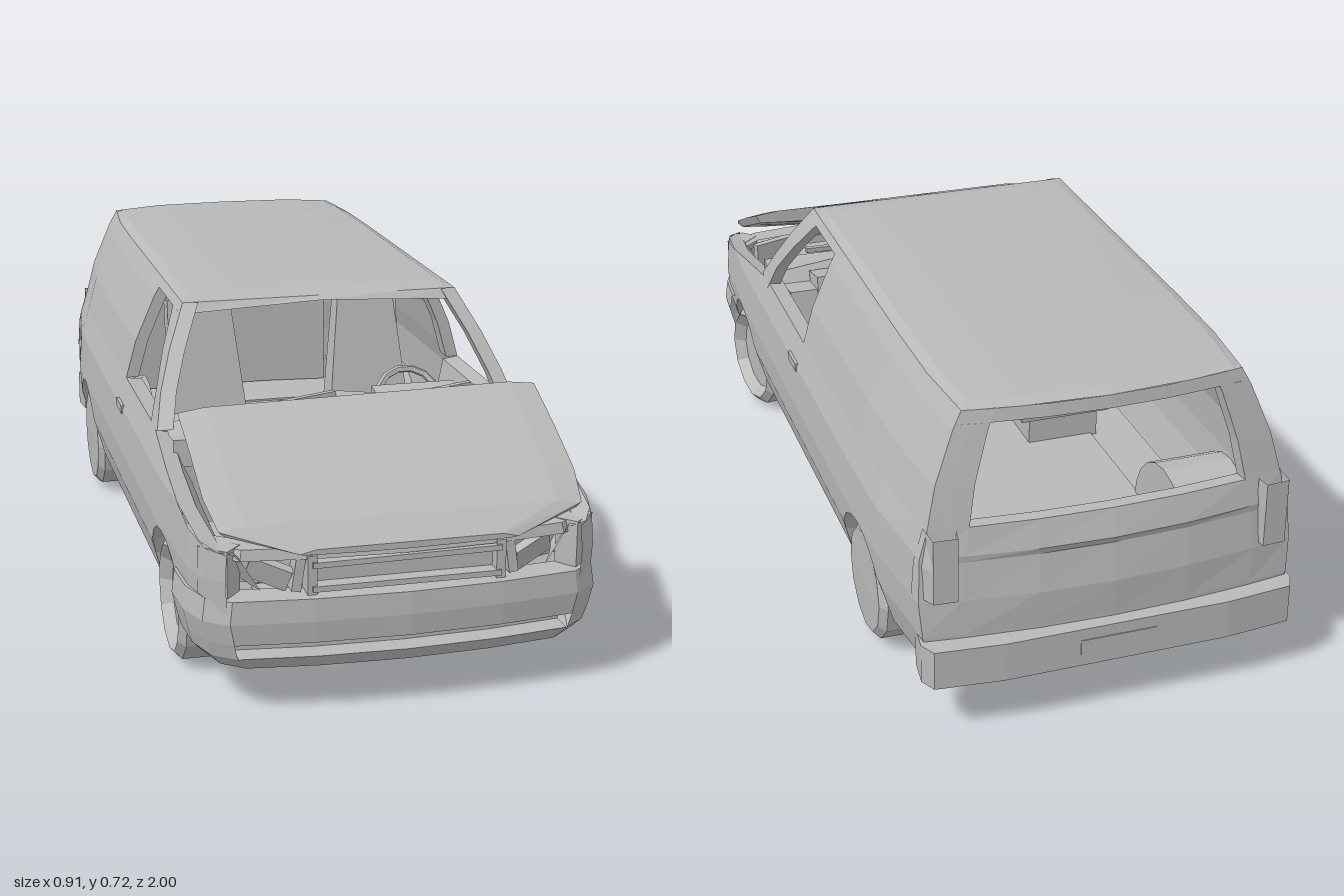
import * as THREE from 'three';

const grey = new THREE.MeshStandardMaterial({ color: 0xb8b8b8, flatShading: true, side: THREE.DoubleSide });
grey.name = 'bare grey';

// Piecewise linear lookup
function interp(table, v) {
  if (v <= table[0][0]) return table[0][1];
  for (let i = 1; i < table.length; i++) {
    const [a, p] = table[i - 1], [b, q] = table[i];
    if (v <= b) return p + (q - p) * (v - a) / (b - a);
  }
  return table[table.length - 1][1];
}
// Body half width by height, its narrowing along the length, the top of the lower side, the rear corner rake
const halfWidth = y => interp([[.08, .39], [.13, .42], [.22, .445], [.3, .45], [.4, .442], [.46, .421], [.55, .396], [.66, .348], [.7, .325]], y);
const taper = z => interp([[-.95, .92], [-.7, .99], [-.5, 1], [.6, 1], [.85, .97], [.93, .925], [.965, .84]], z);
const beltLine = z => interp([[.4, .46], [.6, .43], [.9, .37], [1, .35]], z);
const rearEdge = y => interp([[.22, -.94], [.46, -.915], [.7, -.875]], y);
const WHEELS = [.62, -.57], ARCH = .157, HUB = .137;

const skin = (z, y, s, inset = 0) => {
  const zz = Math.max(z, rearEdge(y));
  return [s * (halfWidth(y) * taper(zz) - inset), y, zz];
};
// Point on the bowed tailgate, t from -1 to 1 across it
const rear = (t, y, back = 0) => {
  const z = rearEdge(y);
  return [t * halfWidth(y) * taper(z), y, z - (.03 + back) * (1 - t * t)];
};

export function createModel() {
  const van = new THREE.Group();
  van.name = 'van';

  const add = (name, geo, x = 0, y = 0, z = 0, rx = 0, ry = 0, rz = 0) => {
    const m = new THREE.Mesh(geo, grey);
    m.name = name;
    m.position.set(x, y, z);
    m.rotation.set(rx, ry, rz);
    van.add(m);
  };
  const box = (name, w, h, d, ...at) => add(name, new THREE.BoxGeometry(w, h, d), ...at);
  const tube = (name, r, pts) => add(name, new THREE.TubeGeometry(
    new THREE.CatmullRomCurve3(pts.map(p => new THREE.Vector3(...p))), 14, r, 6));
  // Surface through rows of points
  const sheet = (name, rows) => {
    const pos = [];
    for (let i = 1; i < rows.length; i++) for (let j = 1; j < rows[i].length; j++) {
      const a = rows[i - 1][j - 1], b = rows[i - 1][j], c = rows[i][j], d = rows[i][j - 1];
      pos.push(...a, ...d, ...b, ...b, ...d, ...c);
    }
    const g = new THREE.BufferGeometry();
    g.setAttribute('position', new THREE.Float32BufferAttribute(pos, 3));
    g.computeVertexNormals();
    add(name, g);
  };

  // Stations along the lower side: [z, lowest y], with round wheel arches
  const arch = c => {
    const out = [[c - ARCH - .002, c < 0 ? .12 : .085]];
    for (let i = 0; i <= 10; i++) {
      const a = Math.PI * i / 10;
      out.push([c - ARCH * Math.cos(a), HUB + ARCH * Math.sin(a)]);
    }
    out.push([c + ARCH + .002, c < 0 ? .085 : .1]);
    return out;
  };
  const stations = [[-.96, .14], [-.85, .13], ...arch(-.57), [-.2, .08], [0, .08], [.2, .08], [.4, .08],
    ...arch(.62), [.85, .12], [.93, .14], [.965, .2]];

  for (const s of [1, -1]) {
    const side = s > 0 ? 'left' : 'right';
    sheet(side + 'LowerSide', stations.map(([z, lo]) =>
      [.08, .13, .22, .3, .4, 1].map(y => skin(z, Math.max(lo, Math.min(y, beltLine(z))), s))));
    sheet(side + 'UpperSide', [-.96, -.7, -.5, 0].map(z => [.46, .55, .66, .7].map(y => skin(z, y, s))));
    sheet(side + 'DoorHeader', [0, .1, .2, .25].map(z => [skin(z, .7, s), skin(z, .68, s), skin(z, .675, s, .03)]));
    sheet(side + 'DoorPost', [.46, .55, .66, .68].map(y => [skin(0, y, s), skin(0, y, s, .03), skin(-.05, y, s, .03)]));
    // Windscreen pillar: outer face, front face and inner face
    sheet(side + 'WindscreenPillar', [[.44, .37, .46], [.38, .335, .53], [.32, .265, .61], [.25, .18, .7]].map(([f, b, y]) =>
      [skin(b, y - .015, s, .03), skin(b, y - .015, s), skin(f, y, s), skin(f + .005, y, s, .035), skin(b, y - .015, s, .03)]));
    // Door inner panel and fender shelf
    sheet(side + 'InnerDoor', [0, .2, .42].map(z => [skin(z, .46, s), skin(z, .455, s, .04), skin(z, .4, s, .07), skin(z, .13, s, .05)]));
    sheet(side + 'FenderShelf', [.42, .6, .75, .9, .95].map(z => {
      const y = beltLine(z);
      return [skin(z, y, s), skin(z, y - .01, s, .04), skin(z, y - .09, s, .09)];
    }));
    box(side + 'DoorHandle', .01, .02, .075, s * .441, .4, .03);
    sheet(side + 'TailLamp', [.31, .385, .46].map(y => [skin(-.9, y, s, -.003), [s * .392, y, -.958], [s * .34, y, -.962], [s * .335, y, -.93]]));
    box(side + 'HeadlampBack', .13, .085, .02, s * .29, .31, .89, 0, s * .35);
    box(side + 'HeadlampBracket', .02, .09, .08, s * .225, .31, .92, 0, 0, s * .15);
    box(side + 'LampShard', .09, .05, .02, s * .28, .3, .925, .3, s * .4, s * .25);
    tube(side + 'FrameRail', .022, [[s * .24, .13, .85], [s * .25, .12, .6], [s * .2, .1, .35], [s * .25, .105, -.2], [s * .24, .14, -.57], [s * .26, .12, -.92]]);
    box(side + 'SillUnderside', .09, .02, .8, s * .35, .09, .03, 0, 0, s * .15);

    // Front seat
    const x = s * .21;
    box(side + 'SeatCushion', .23, .1, .26, x, .28, 0, -.1);
    add(side + 'SeatBack', new THREE.CylinderGeometry(.1, .155, .36, 4, 1).rotateY(Math.PI / 4).scale(1, 1, .4), x, .43, -.12, -.15);
    box(side + 'Headrest', .14, .09, .05, x + s * .015, .565, -.15, -.15);
    box(side + 'SeatBase', .18, .12, .2, x, .18, -.01);

    for (const c of WHEELS) {
      // Arch liner
      const liner = [];
      for (let i = 0; i <= 10; i++) {
        const a = Math.PI * i / 10, z = c - ARCH * Math.cos(a), y = HUB + ARCH * Math.sin(a);
        liner.push([skin(z, y, s), [s * .28, y, z], [s * .28, Math.min(y, HUB), z]]);
      }
      sheet(side + 'ArchLiner', liner);

      // Wheel: coarse tyre, shallow dished in front and nearly flat at the rear
      const wheel = new THREE.Group();
      wheel.name = side + (c > 0 ? 'FrontWheel' : 'RearWheel');
      const dish = c > 0 ? .02 : .046;
      const profile = [[0, -.03], [.085, -.045], [.12, -.047], [.136, -.035], [.136, .03], [.118, .046], [.095, dish], [0, dish + .003]];
      const tyre = new THREE.Mesh(new THREE.LatheGeometry(profile.map(p => new THREE.Vector2(...p)), 12), grey);
      tyre.name = 'tyre';
      tyre.rotation.z = -s * Math.PI / 2;
      wheel.add(tyre);
      wheel.position.set(s * .388, c > 0 ? .137 : .142, c);
      if (c > 0 && s > 0) wheel.rotation.y = .17;
      van.add(wheel);
    }

    // Rear pillar beside the open window
    sheet(side + 'RearPillar', [.46, .55, .66, .672].map(y => {
      const inner = rear(s * .78, y);
      return [rear(s, y), rear(s * .9, y), inner, [inner[0] * .98, y, inner[2] + .03]];
    }));
  }

  // Roof with a soft crown, its rear edge bowed like the tailgate
  const across = [-1, -.93, -.6, 0, .6, .93, 1];
  sheet('roof', [[-.875, .7, .03], [-.85, .71, .03], [-.7, .716, 0], [-.5, .718, 0], [0, .716, 0], [.2, .711, 0], [.25, .7, 0]].map(([z, top, bow]) =>
    across.map(t => [t * halfWidth(.7) * taper(z), .7 + (top - .7) * Math.min(1, (1 - Math.abs(t)) * 8), z - bow * (1 - t * t)])));
  sheet('windscreenHeader', across.map(t => [[t * .325, .7, .25], [t * .325, .692 - .015 * Math.abs(t), .265], [t * .31, .685 - .02 * Math.abs(t), .2]]));

  // Tailgate: bulging lower panel with a crease, ledge and top rail round the open window
  const columns = [-1, -.78, -.4, 0, .4, .78, 1];
  sheet('tailgate', columns.map(t => [[.14, 0], [.22, 0], [.3, .012], [.385, .006], [.4, .014], [.46, 0]].map(([y, b]) => rear(t, y, b))));
  sheet('tailgateTopRail', columns.map(t => [rear(t, .7), rear(t, .672), [rear(t, .672)[0], .665, rear(t, .672)[2] + .03]]));
  sheet('tailgateLedge', columns.slice(1, -1).map(t => {
    const [x, y, z] = rear(t, .46);
    return [[x, y, z], [x, y, z + .03], [x, .16, z + .03]];
  }));

  // Rear bumper from a plan outline
  const plan = [[-.41, .885], [-.418, .95], [-.4, .985], [-.25, 1], [.25, 1], [.4, .985], [.418, .95], [.41, .885], [.385, .885], [.38, .93], [-.38, .93], [-.385, .885]];
  add('rearBumper', new THREE.ExtrudeGeometry(new THREE.Shape(plan.map(p => new THREE.Vector2(...p))),
    { depth: .09, bevelEnabled: false }).rotateX(-Math.PI / 2), 0, .122);
  box('numberPlate', .17, .04, .008, 0, .165, -.998);

  // Front bumper: bands swept round the nose, with a slot between them
  const half = [[.452, .765], [.446, .86], [.42, .935], [.37, .972], [.2, .992], [0, 1]];
  const nose = [...half, ...half.slice(0, -1).reverse().map(([x, z]) => [-x, z])];
  const band = (name, path, levels) => sheet(name, path.map(([x, z]) => levels.map(([y, k, back = 0]) => [x * k, y, z - back])));
  band('frontBumper', nose, [[.262, .93, .06], [.258, .985, .004], [.21, 1], [.163, .975, .004]]);
  band('bumperLip', nose, [[.13, .955, .01], [.1, .9, .03], [.1, .85, .09]]);
  for (const s of [1, -1]) band('bumperCorner', half.slice(0, 4).map(([x, z]) => [s * x, z]), [[.163, .975, .004], [.13, .955, .01]]);
  band('intakeBack', nose.slice(3, -3), [[.163, .97, .004], [.16, .97, .06], [.13, .95, .06], [.13, .95, .01]]);
  band('noseRail', nose.slice(2, -2), [[.36, .92, .09], [.358, .92, .03], [.335, .93, .025], [.335, .92, .07]]);
  box('grilleBack', .42, .08, .015, 0, .298, .935);
  box('grilleTop', .4, .012, .04, 0, .325, .955, 0, 0, .01);
  box('grilleBottom', .4, .012, .04, 0, .272, .955);
  for (const s of [1, -1]) {
    box('grillePost', .02, .085, .04, s * .2, .3, .95);
    box('nosePost', .07, .1, .05, s * .38, .31, .91, 0, s * .75);
  }

  // Raised bonnet, lens shaped in profile, with a pressed underside
  const bonnet = [[.59, .558, .402, .035], [.72, .508, .402, .05], [.85, .448, .4, .045], [.935, .405, .385, .025], [.985, .362, .23, .008]];
  const spread = [-1, -.85, -.4, 0, .4, .85, 1];
  const top = bonnet.map(([z, y, w]) => spread.map(t => [t * w, y - (Math.abs(t) === 1 ? .008 : 0) + (z < .6 ? t * .006 : 0), z]));
  const under = bonnet.map(([z, y, w, d]) => spread.map(t => [t * w * .97, y - d * (1 - .5 * t * t) - .006, z]));
  sheet('bonnetTop', top);
  sheet('bonnetUnderside', under);
  sheet('bonnetRearEdge', [top[0], under[0]]);
  sheet('bonnetFrontEdge', [top[4], under[4]]);
  for (const j of [0, 6]) sheet('bonnetSideEdge', top.map((r, i) => [r[j], under[i][j]]));

  // Cowl, engine bay and cabin fittings
  sheet('cowl', [-.4, -.2, 0, .2, .4].map(x => [[x, .4, .37], [x, .515 - .12 * Math.abs(x), .41], [x, .495 - .1 * Math.abs(x), .47], [x, .46, .52], [x, .4, .525]]));
  for (const x of [-.12, .2]) box('wiperArm', .22, .012, .014, x, .505, .44, 0, .15, .08);
  box('firewall', .76, .32, .02, 0, .28, .5);
  box('engineBlock', .3, .18, .22, .02, .27, .66);
  box('engineCover', .2, .05, .16, .04, .365, .64, 0, .15);
  box('battery', .12, .1, .1, -.24, .33, .7);
  box('airBox', .11, .09, .14, .25, .33, .68, 0, .2);
  box('radiator', .5, .2, .03, 0, .23, .87);
  box('bayCrossBar', .72, .025, .03, 0, .41, .57);
  box('dashboard', .76, .11, .13, 0, .39, .36, .15);
  box('instrumentHood', .2, .05, .09, .21, .455, .34, .2);
  box('centreConsole', .12, .2, .2, 0, .25, .3);
  add('steeringWheel', new THREE.TorusGeometry(.075, .009, 5, 14), .21, .44, .27, -.5);
  box('steeringSpoke', .14, .015, .012, .21, .44, .27, -.5);
  tube('steeringColumn', .014, [[.21, .44, .27], [.21, .41, .31], [.21, .37, .36]]);

  // Floor and running gear
  box('centreFloor', .57, .02, 1.42, 0, .14, -.22);
  box('sideFloor', .81, .02, .85, 0, .135, .025);
  box('rearFloor', .76, .02, .2, 0, .145, -.84);
  for (const z of [-.85, -.35, .25, .5, .8]) box('crossMember', .5, .03, .035, 0, .11, z);
  box('rearAxle', .72, .045, .045, 0, .137, -.57);
  box('frontAxle', .72, .03, .05, 0, .125, .62);
  add('differential', new THREE.IcosahedronGeometry(.06, 0), 0, .13, -.57);
  tube('driveShaft', .018, [[0, .125, -.57], [0, .11, -.1], [0, .11, .4]]);
  box('gearbox', .14, .1, .3, 0, .115, .45);
  box('sump', .2, .07, .2, .02, .1, .66);
  box('fuelTank', .13, .05, .34, .12, .12, -.15);
  tube('exhaust', .016, [[.08, .1, .6], [-.1, .09, .35], [-.14, .09, 0], [-.13, .09, -.35], [-.2, .1, -.7], [-.22, .12, -.94]]);
  add('silencer', new THREE.CylinderGeometry(.035, .035, .24, 8), -.14, .105, -.18, Math.PI / 2);
  add('looseBracket', new THREE.TetrahedronGeometry(.028), -.29, .045, .62);

  return van;
}
